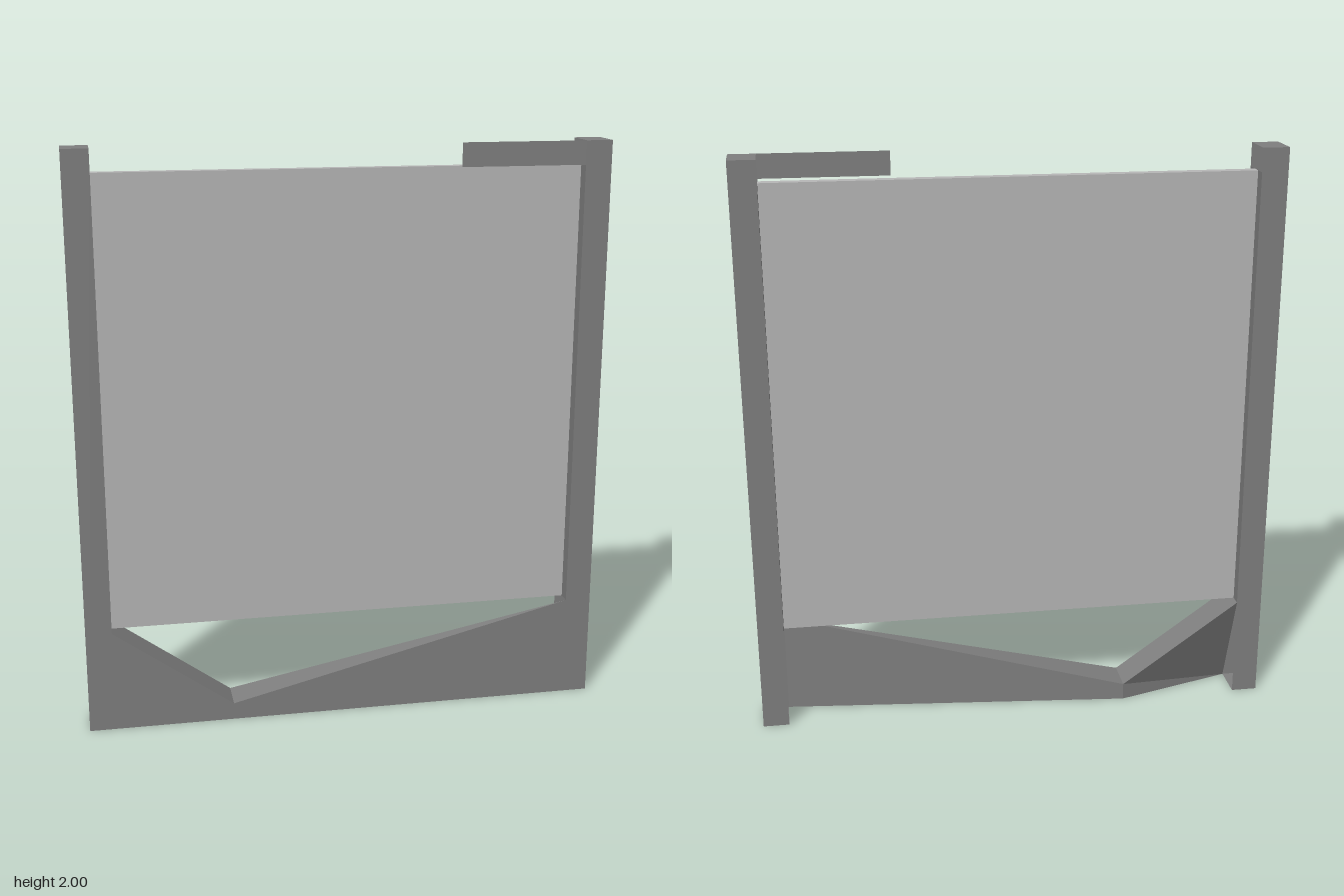
import * as THREE from 'three';

const X = 0.905, IN = 0.815, Z = 0.062, TOP = 2, HEAD = 1.92, SILL = 0.36;
const VX = -0.4, VY = 0.06; // low point of the sill

export function createModel() {
  const model = new THREE.Group();
  const frameGrey = new THREE.MeshStandardMaterial({ color: 0x808080, side: THREE.DoubleSide });
  frameGrey.name = 'frameGrey';
  const panelGrey = new THREE.MeshStandardMaterial({ color: 0xb8b8b8 });
  panelGrey.name = 'panelGrey';

  const add = (name, geometry, material, parent = model) => {
    const mesh = new THREE.Mesh(geometry, material);
    mesh.name = name;
    parent.add(mesh);
    return mesh;
  };

  // Flat faces given as corner loops, fanned into triangles
  const faces = (...loops) => {
    const p = [];
    for (const l of loops)
      for (let i = 1; i < l.length - 1; i++) p.push(...l[0], ...l[i], ...l[i + 1]);
    const g = new THREE.BufferGeometry();
    g.setAttribute('position', new THREE.Float32BufferAttribute(p, 3));
    g.computeVertexNormals();
    return g;
  };

  // Hollow posts, open on the inner side above and below the panel
  for (const s of [1, -1]) {
    const post = new THREE.Group();
    post.name = s > 0 ? 'leftPost' : 'rightPost';
    model.add(post);
    const o = s * X, i = s * IN;
    const order = (l) => (s > 0 ? l : l.slice().reverse());
    add('postShell', faces(
      order([[i, 0, Z], [o, 0, Z], [o, TOP, Z], [i, TOP, Z]]),
      order([[o, 0, -Z], [i, 0, -Z], [i, TOP, -Z], [o, TOP, -Z]]),
      order([[o, 0, Z], [o, 0, -Z], [o, TOP, -Z], [o, TOP, Z]]),
      order([[i, TOP, Z], [o, TOP, Z], [o, TOP, -Z], [i, TOP, -Z]]),
      order([[i, 0, -Z], [o, 0, -Z], [o, 0, Z], [i, 0, Z]]),
      order([[i, SILL, -Z], [i, SILL, Z], [i, HEAD, Z], [i, HEAD, -Z]])
    ), frameGrey, post);
  }

  // Sill: front plate with a lopsided V, sloping tops and a tapering back
  add('sillFront', faces(
    [[VX, 0, Z], [IN, 0, Z], [IN, SILL, Z], [VX, VY, Z]],
    [[-IN, 0, Z], [VX, 0, Z], [VX, VY, Z], [-IN, SILL, Z]]
  ), frameGrey);
  add('sillSlopes', faces(
    [[-IN, SILL, Z], [VX, VY, Z], [VX, VY, -Z], [-IN, SILL, -Z]],
    [[VX, VY, Z], [IN, SILL, Z], [VX, VY, -Z]]
  ), frameGrey);
  add('sillBack', faces(
    [[IN, 0, Z], [VX, 0, -Z], [VX, VY, -Z], [IN, SILL, Z]],
    [[VX, VY, -Z], [-IN, 0, Z], [-IN, SILL, -Z]],
    [[VX, VY, -Z], [VX, 0, -Z], [-IN, 0, Z]]
  ), frameGrey);

  // Short thin strip at the top of the left post
  add('topStrip', faces([[0.39, HEAD, Z], [IN, HEAD, Z], [IN, TOP, Z], [0.39, TOP, Z]]), frameGrey);

  // Large flat panel between the posts
  add('panel', new THREE.BoxGeometry(2 * IN, HEAD - SILL, 0.036), panelGrey)
    .position.set(0, (HEAD + SILL) / 2, -0.002);

  return model;
}
